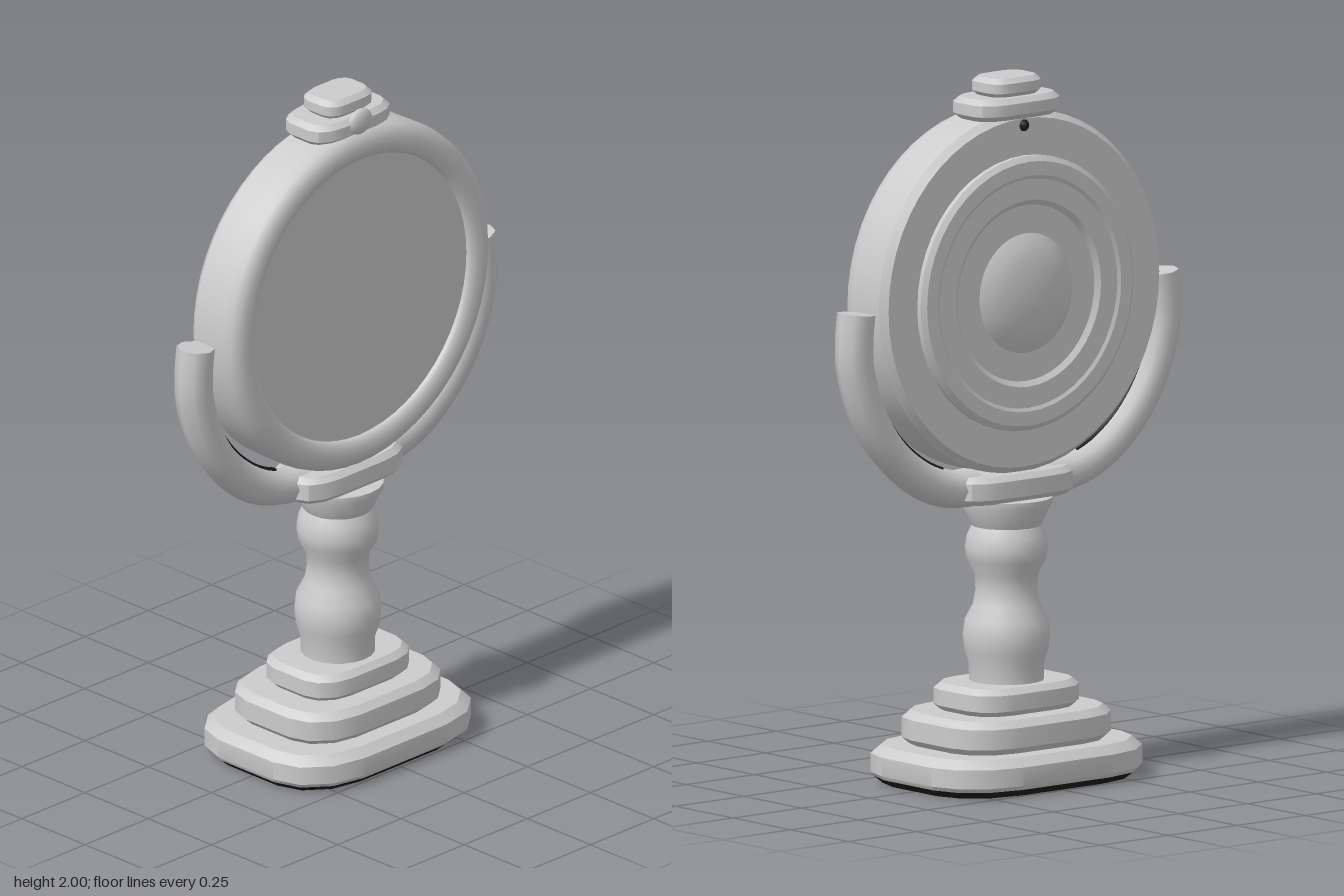
import * as THREE from 'three';
import { toCreasedNormals } from 'three/addons/utils/BufferGeometryUtils.js';
import { ConvexGeometry } from 'three/addons/geometries/ConvexGeometry.js';

const grey = new THREE.MeshStandardMaterial({ color: 0xcccccc });
grey.name = 'pale grey';
const dark = new THREE.MeshStandardMaterial({ color: 0x1c1c19 });
dark.name = 'dark felt';

function add(parent, name, geometry, material = grey) {
  const mesh = new THREE.Mesh(geometry, material);
  mesh.name = name;
  parent.add(mesh);
  return mesh;
}

// Convex slab with rounded corners; each level is [y, inset]
function slab(hx, hz, levels) {
  const points = [];
  for (const [y, inset] of levels) {
    const x = hx - inset, z = hz - inset;
    const rx = x * 0.55, rz = z * 0.6;
    for (const sx of [-1, 1]) for (const sz of [-1, 1]) {
      for (let i = 0; i <= 3; i++) {
        const a = (i / 3) * Math.PI / 2;
        points.push(new THREE.Vector3(
          sx * (x - rx + rx * Math.cos(a)), y, sz * (z - rz + rz * Math.sin(a))));
      }
    }
  }
  return toCreasedNormals(new ConvexGeometry(points), 0.6);
}

const bevelled = (hx, hz, y0, y1, b) =>
  slab(hx, hz, [[y0, b], [y0 + b, 0], [y1 - b, 0], [y1, b]]);

function lathe(profile, sides, crease) {
  const points = profile.map(([r, y]) => new THREE.Vector2(r, y));
  return toCreasedNormals(new THREE.LatheGeometry(points, sides), crease);
}

// Curved arm with an end cap and a dark lining on its inner side
function arm(side) {
  const group = new THREE.Group();
  group.name = side > 0 ? 'leftArm' : 'rightArm';
  const centre = [[0.13, 0.842], [0.22, 0.848], [0.32, 0.885], [0.43, 0.97],
    [0.515, 1.09], [0.56, 1.23], [0.562, 1.32], [0.555, 1.382]];
  const path = new THREE.CatmullRomCurve3(
    centre.map(([x, y]) => new THREE.Vector3(side * x, y, -0.007)));
  add(group, 'armTube', new THREE.TubeGeometry(path, 28, 0.054, 8));

  const tangent = path.getTangent(1);
  const depth = new THREE.Vector3(0, 0, 1);
  const across = new THREE.Vector3().crossVectors(tangent, depth);
  const cap = new THREE.CircleGeometry(0.054, 8);
  cap.applyMatrix4(new THREE.Matrix4().makeBasis(depth, across, tangent)
    .setPosition(path.getPoint(1)));
  add(group, 'armCap', cap);

  const inner = [];
  for (let i = 4; i <= 19; i++) {
    const t = path.getTangent(i / 20);
    inner.push(path.getPoint(i / 20)
      .add(new THREE.Vector3(-t.y * side, t.x * side, 0).multiplyScalar(0.046)));
  }
  add(group, 'armLining',
    new THREE.TubeGeometry(new THREE.CatmullRomCurve3(inner), 24, 0.012, 6), dark);
  return group;
}

export function createModel() {
  const model = new THREE.Group();
  model.name = 'tableMirror';

  // Stepped base
  add(model, 'basePad', slab(0.365, 0.27, [[0, 0.03], [0.02, 0.008]]), dark);
  add(model, 'baseLower', slab(0.365, 0.27, [[0.02, 0.008], [0.032, 0], [0.085, 0], [0.11, 0.025]]));
  add(model, 'baseMiddle', bevelled(0.28, 0.21, 0.108, 0.205, 0.02));
  add(model, 'baseUpper', bevelled(0.195, 0.145, 0.203, 0.283, 0.017));

  // Turned column with a flared cup
  add(model, 'column', lathe([
    [0.105, 0.27], [0.106, 0.33], [0.119, 0.37], [0.123, 0.41], [0.117, 0.455],
    [0.094, 0.5], [0.087, 0.54], [0.09, 0.585], [0.112, 0.625], [0.117, 0.66],
    [0.111, 0.695], [0.098, 0.722], [0.13, 0.785], [0.13, 0.802], [0, 0.802],
  ], 20, 0.7));

  // Cradle
  add(model, 'collar', bevelled(0.2, 0.1, 0.8, 0.88, 0.016));
  model.add(arm(1), arm(-1));

  // Round head, turned about the z axis from the back centre to the front centre
  const head = new THREE.Group();
  head.name = 'mirrorHead';
  head.position.y = 1.39;
  head.rotation.x = Math.PI / 2;
  model.add(head);
  add(head, 'backDome', lathe([
    [0, -0.124], [0.05, -0.122], [0.1, -0.115], [0.14, -0.103], [0.17, -0.085],
  ], 48, 0.8));
  add(head, 'backPlate', lathe([
    [0, -0.085], [0.25, -0.085], [0.265, -0.096], [0.325, -0.096], [0.335, -0.101],
    [0.375, -0.101], [0.39, -0.09], [0.39, -0.07],
  ], 48, 0.4));
  add(head, 'frame', lathe([
    [0.3, -0.076], [0.495, -0.076], [0.513, -0.055], [0.515, 0.06], [0.51, 0.085],
    [0.495, 0.1], [0.475, 0.108], [0.45, 0.107], [0.432, 0.1], [0.425, 0.092], [0.422, 0.075],
  ], 56, 0.62));
  add(head, 'mirrorGlass', lathe([[0.425, 0.085], [0, 0.085]], 56, 0.5));

  // Crest with a front knob and a small rear fastener
  add(model, 'crestLower', bevelled(0.152, 0.092, 1.885, 1.947, 0.015));
  add(model, 'crestUpper', bevelled(0.092, 0.07, 1.945, 2, 0.014));
  const knob = add(model, 'crestKnob', new THREE.SphereGeometry(0.045, 16, 10));
  knob.scale.set(1, 0.85, 0.4);
  knob.position.set(0, 1.93, 0.088);
  const fastener = add(model, 'rearFastener', new THREE.SphereGeometry(0.018, 8, 6), dark);
  fastener.position.set(0, 1.865, -0.072);

  return model;
}
